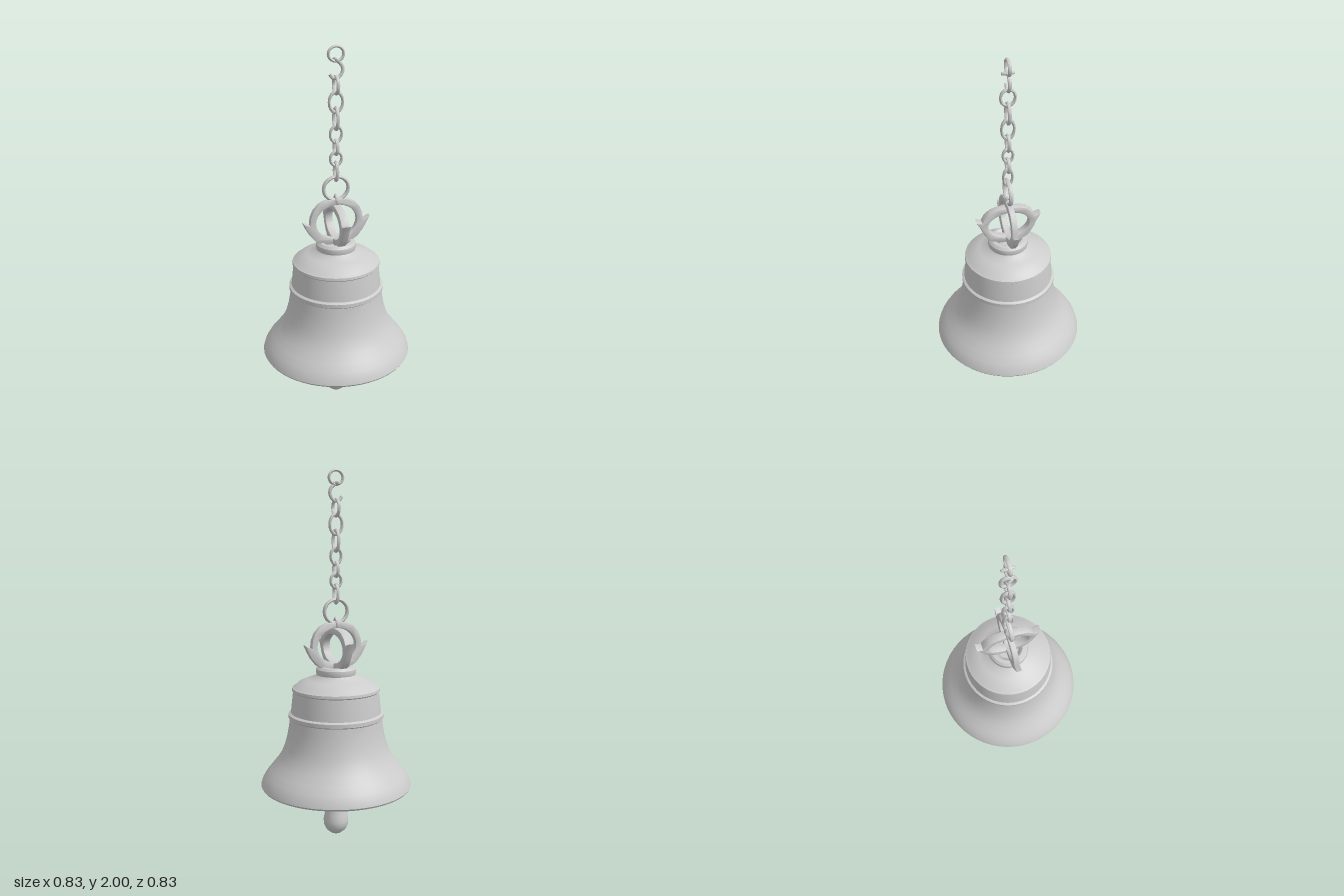
import * as THREE from 'three';
import { toCreasedNormals } from 'three/addons/utils/BufferGeometryUtils.js';

const metal = new THREE.MeshStandardMaterial({ color: 0xcccccc });
const vecs = (pts) => pts.map(([x, y]) => new THREE.Vector2(x, y));

function add(parent, name, geometry, crease = 0.6) {
  const mesh = new THREE.Mesh(toCreasedNormals(geometry, crease), metal);
  mesh.name = name;
  parent.add(mesh);
  return mesh;
}

// Crown hoop: flat arch with an upswept horn on each side and an oval opening
function crownHoop(half, hole, thickness) {
  const right = vecs(half);
  const left = right.slice().reverse().map((p) => new THREE.Vector2(-p.x, p.y));
  const shape = new THREE.Shape([...right, ...left]);
  const opening = new THREE.Path();
  opening.absellipse(0, hole.y, hole.rx, hole.ry, 0, Math.PI * 2, true);
  shape.holes.push(opening);
  const bevel = 0.007;
  const geo = new THREE.ExtrudeGeometry(shape, {
    depth: thickness - 2 * bevel, bevelEnabled: true, bevelSize: bevel,
    bevelThickness: bevel, bevelOffset: -bevel, bevelSegments: 2, curveSegments: 14,
  });
  return geo.translate(0, 0, bevel - thickness / 2);
}

// Oval chain link centred on the axis, facing front or turned to the side
function link(parent, name, y, rx, ry, tube, sideways) {
  const geo = new THREE.TorusGeometry(1, tube / rx, 8, 20);
  geo.scale(rx - tube, ry - tube, rx);
  const mesh = add(parent, name, geo, 0.9);
  mesh.position.y = y;
  if (sideways) mesh.rotation.y = Math.PI / 2;
  return mesh;
}

export function createModel() {
  const model = new THREE.Group();
  model.name = 'hangingBell';

  // Bell shell: inner wall from the crown down, round the lip, then up the outside
  const shell = vecs([
    [0, 0.8], [0.14, 0.79], [0.2, 0.74], [0.22, 0.64], [0.24, 0.54], [0.28, 0.45],
    [0.345, 0.365], [0.385, 0.305], [0.39, 0.29],
    [0.41, 0.29], [0.416, 0.3], [0.408, 0.325], [0.388, 0.36], [0.36, 0.395], [0.328, 0.435],
    [0.302, 0.475], [0.283, 0.52], [0.268, 0.575], [0.258, 0.63], [0.253, 0.672],
    [0.26, 0.678], [0.26, 0.698], [0.247, 0.706],
    [0.241, 0.76], [0.234, 0.822], [0.24, 0.828], [0.238, 0.842], [0.224, 0.85],
    [0.205, 0.868], [0.16, 0.888], [0.115, 0.904],
    [0.106, 0.914], [0.11, 0.93], [0.108, 0.945], [0.096, 0.958], [0.08, 0.96],
    [0.066, 0.95], [0.058, 0.935], [0, 0.935],
  ]);
  add(model, 'bellShell', new THREE.LatheGeometry(shell, 56));

  // Clapper with a bulb end
  const clapper = vecs([
    [0, 0.0], [0.03, 0.007], [0.055, 0.028], [0.069, 0.058], [0.07, 0.085], [0.062, 0.12],
    [0.052, 0.165], [0.045, 0.22], [0.038, 0.29], [0.034, 0.36], [0.028, 0.385], [0, 0.39],
  ]);
  add(model, 'clapper', new THREE.LatheGeometry(clapper, 20));

  // Crown: two crossed hoops
  const crown = new THREE.Group();
  crown.name = 'crown';
  model.add(crown);
  add(crown, 'wideHoop', crownHoop([
    [0.07, 0.942], [0.12, 0.972], [0.152, 1.01], [0.172, 1.045], [0.19, 1.085], [0.15, 1.066],
    [0.147, 1.105], [0.13, 1.145], [0.1, 1.178], [0.06, 1.196], [0.02, 1.2],
  ], { y: 1.072, rx: 0.115, ry: 0.094 }, 0.032));
  add(crown, 'sideHoop', crownHoop([
    [0.07, 0.942], [0.112, 0.975], [0.14, 1.02], [0.156, 1.06], [0.178, 1.102], [0.145, 1.093],
    [0.13, 1.122], [0.1, 1.148], [0.06, 1.162], [0.02, 1.167],
  ], { y: 1.055, rx: 0.113, ry: 0.078 }, 0.045)).rotation.y = Math.PI / 2;
  link(crown, 'crownEye', 1.192, 0.024, 0.035, 0.009, true);

  // Large ring and chain, alternate links turned a quarter
  const chain = new THREE.Group();
  chain.name = 'chain';
  model.add(chain);
  link(chain, 'largeRing', 1.257, 0.081, 0.076, 0.012, false);
  [
    [1.35, 0.034, 0.055], [1.42, 0.041, 0.046], [1.48, 0.036, 0.046], [1.55, 0.041, 0.051],
    [1.63, 0.042, 0.062], [1.715, 0.046, 0.061], [1.8, 0.046, 0.052],
  ].forEach(([y, rx, ry], i) => link(chain, 'chainLink', y, rx, ry, 0.0095, i % 2 === 0));

  // Open hook joining the chain to the top ring
  const hook = new THREE.CatmullRomCurve3([
    [-0.034, 1.857], [-0.018, 1.838], [0.012, 1.838], [0.033, 1.862],
    [0.033, 1.892], [0.014, 1.915], [-0.006, 1.925],
  ].map(([x, y]) => new THREE.Vector3(x, y, 0)));
  add(chain, 'openHook', new THREE.TubeGeometry(hook, 20, 0.0095, 8), 0.9);
  const pin = add(chain, 'hookPin', new THREE.CapsuleGeometry(0.009, 0.05, 3, 8), 0.9);
  pin.rotation.x = Math.PI / 2;
  pin.position.y = 1.925;
  link(chain, 'topRing', 1.954, 0.05, 0.046, 0.0095, false);

  return model;
}
